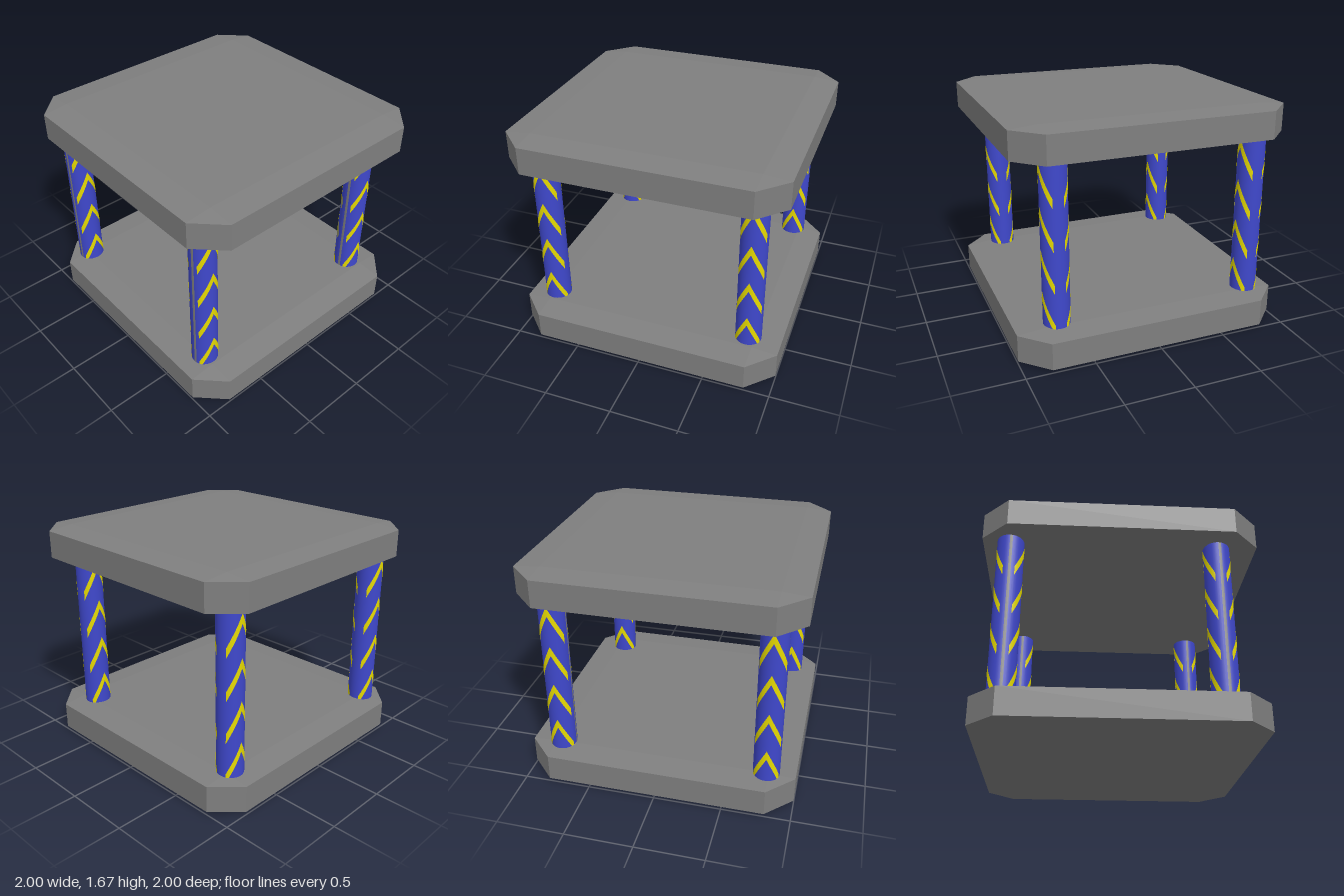
import * as THREE from 'three';
import { ConvexGeometry } from 'three/addons/geometries/ConvexGeometry.js';

const grey = new THREE.MeshStandardMaterial({ name: 'stone grey', color: 0x7f7f7f });
const blue = new THREE.MeshStandardMaterial({ name: 'column blue', color: 0x3f48cc });
const yellow = new THREE.MeshStandardMaterial({ name: 'chevron yellow', color: 0xfff200, side: THREE.DoubleSide });

const RADIUS = 0.097, BOTTOM = 0.23, TOP = 1.445, SEAM = 0.21;

function part(name, geometry, material) {
  const mesh = new THREE.Mesh(geometry, material);
  mesh.name = name;
  return mesh;
}

// Square slab with cut corners and a shallow slope towards its rim
function slabGeometry() {
  const points = [];
  for (const sx of [-1, 1]) for (const sz of [-1, 1]) {
    for (const y of [0, 0.24]) points.push(new THREE.Vector3(sx * 0.81, y, sz * 0.81));
    for (const y of [0.022, 0.222]) {
      points.push(new THREE.Vector3(sx, y, sz * 0.81), new THREE.Vector3(sx * 0.81, y, sz));
    }
  }
  return new ConvexGeometry(points);
}

// Wall of a column between two angles, measured from +z towards +x
function wallGeometry(start, length, segments) {
  const g = new THREE.CylinderGeometry(RADIUS, RADIUS, TOP - BOTTOM, segments, 1, true, start, length);
  return g.translate(0, (TOP + BOTTOM) / 2, 0);
}

// Painted chevron wrapped on a column, its peak at the given angle and height
function chevronGeometry(peakAngle, peakY) {
  const half = 1.15, steps = 24, r = RADIUS + 0.0015;
  const positions = [], normals = [], index = [];
  for (let i = 0; i <= steps; i++) {
    const t = (i / steps * 2 - 1) * half;
    const x = Math.sin(peakAngle + t), z = Math.cos(peakAngle + t);
    const y = peakY - Math.abs(t) * 0.2;
    for (const dy of [-0.036, 0.036]) {
      positions.push(x * r, y + dy, z * r);
      normals.push(x, 0, z);
    }
    const a = i * 2;
    if (i < steps) index.push(a, a + 2, a + 1, a + 1, a + 2, a + 3);
  }
  const g = new THREE.BufferGeometry();
  g.setAttribute('position', new THREE.Float32BufferAttribute(positions, 3));
  g.setAttribute('normal', new THREE.Float32BufferAttribute(normals, 3));
  g.setIndex(index);
  return g;
}

function createColumn() {
  const column = new THREE.Group();
  column.name = 'column';
  column.add(part('columnShaft', wallGeometry(SEAM, Math.PI * 2 - SEAM, 36), blue));
  column.add(part('columnSeam', wallGeometry(0, SEAM, 2), grey));
  // Four chevrons up each side
  for (const angle of [1.62, -1.53]) {
    for (let i = 0; i < 4; i++) {
      column.add(part('chevron', chevronGeometry(angle, 0.457 + i * 0.308), yellow));
    }
  }
  return column;
}

export function createModel() {
  const model = new THREE.Group();
  model.name = 'columnTable';

  const slab = slabGeometry();
  model.add(part('baseSlab', slab, grey));
  const roof = part('topSlab', slab, grey);
  roof.position.y = 1.435;
  model.add(roof);

  // The four columns stand slightly off centre
  for (const x of [-0.795, 0.7]) for (const z of [-0.757, 0.788]) {
    const column = createColumn();
    column.position.set(x, 0, z);
    model.add(column);
  }
  return model;
}
